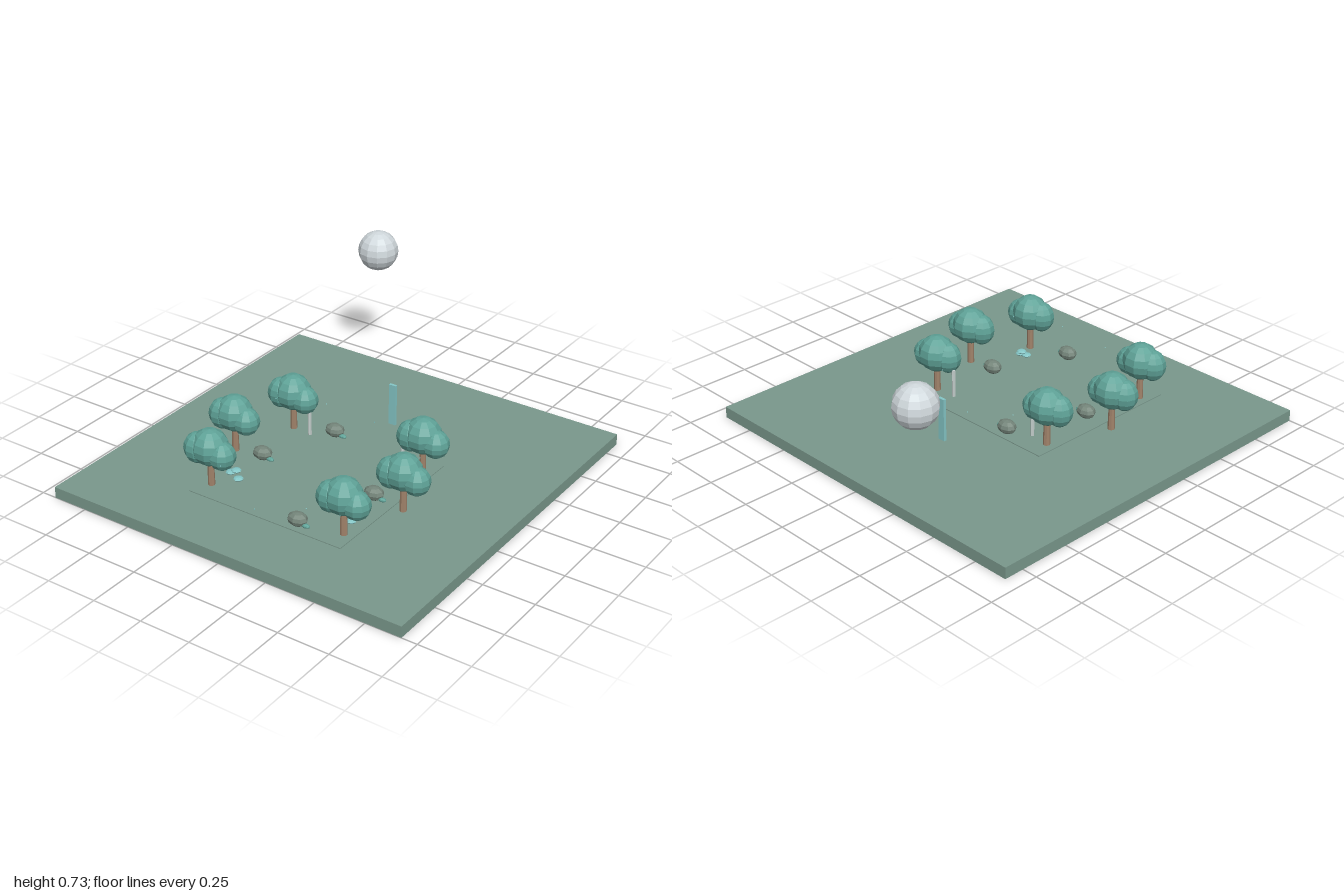
import * as THREE from 'three';

const mat = (name, color) => {
  const m = new THREE.MeshStandardMaterial({ color });
  m.name = name;
  m.flatShading = true;
  return m;
};

export function createModel() {
  const root = new THREE.Group();
  const ground = mat('mossGreen', 0x7a988c);
  const leaf = mat('leafTeal', 0x5fa398);
  const bark = mat('barkBrown', 0xa0826a);
  const stone = mat('shellGrey', 0x74857a);
  const cyan = mat('paleCyan', 0x84c6c6);
  const pale = mat('paleGrey', 0xc6d0ce);
  const moonGrey = mat('moonGrey', 0xd0d8dc);
  const GROUND = 0.055;

  const add = (parent, name, geo, material, x, y, z) => {
    const m = new THREE.Mesh(geo, material);
    m.name = name;
    m.position.set(x, y, z);
    parent.add(m);
    return m;
  };
  const group = (name, x, y, z) => {
    const g = new THREE.Group();
    g.name = name;
    g.position.set(x, y, z);
    root.add(g);
    return g;
  };
  const blob = (rx, ry, rz, w, h) => new THREE.SphereGeometry(1, w, h).scale(rx, ry, rz);

  // Ground slab and the thin tiled clearing
  add(root, 'groundSlab', new THREE.BoxGeometry(1.85, GROUND, 1.85), ground, 0, GROUND / 2, 0.075);
  const clearing = group('clearing', 0, GROUND, 0.275);
  const n = 10, size = 0.082;
  const tile = new THREE.BoxGeometry(size, 0.005, size);
  for (let i = 0; i < n; i++)
    for (let j = 0; j < n; j++)
      add(clearing, 'tile', tile, ground, (i - (n - 1) / 2) * size, 0.0015, (j - (n - 1) / 2) * size);

  // Trees: trunk, main crown and two side lobes
  const trunk = new THREE.CylinderGeometry(0.014, 0.017, 0.15, 8);
  const crown = blob(0.088, 0.089, 0.086, 10, 8);
  const lobeA = blob(0.064, 0.075, 0.062, 10, 8);
  const lobeB = blob(0.066, 0.068, 0.064, 10, 8);
  const spots = [[0.36, -0.035], [0.462, 0.28], [0.36, 0.587]];
  for (const s of [-1, 1])
    for (const [x, z] of spots) {
      const t = group('tree', s * x, 0, z);
      add(t, 'trunk', trunk, bark, 0, GROUND + 0.075, 0);
      add(t, 'crown', crown, leaf, 0, 0.253, 0);
      add(t, 'crownLobe', lobeA, leaf, -0.056, 0.242, 0.02);
      add(t, 'crownLobe', lobeB, leaf, 0.068, 0.23, 0.003);
    }

  // Domed creatures with a small head on one side
  const shell = blob(0.05, 0.033, 0.039, 8, 6);
  const head = blob(0.022, 0.01, 0.013, 8, 6);
  for (const [x, z] of [[-0.158, -0.085], [-0.31, 0.275], [0.305, 0.275], [0.153, 0.637]]) {
    const c = group('domedCreature', x, 0, z);
    add(c, 'shell', shell, stone, 0, 0.088, 0);
    add(c, 'head', head, leaf, 0.048, 0.073, 0.008);
  }

  // Stacked flat caps
  const cap = blob(0.024, 0.009, 0.024, 8, 6);
  for (const x of [-0.305, 0.31]) {
    const c = group('capCluster', x, 0, 0.485);
    add(c, 'cap', cap, cyan, 0.025, 0.07, 0.01);
    add(c, 'cap', cap, cyan, -0.025, 0.083, 0);
    add(c, 'cap', cap, cyan, 0, 0.096, -0.008);
  }

  // Pale posts beside the rear trees
  for (const x of [-0.26, 0.257])
    add(root, 'post', new THREE.CylinderGeometry(0.009, 0.009, 0.14, 6), pale, x, GROUND + 0.07, -0.025);

  // Glowing slab standing at the back
  add(root, 'standingSlab', new THREE.BoxGeometry(0.036, 0.21, 0.014), cyan, 0, GROUND + 0.105, -0.335);

  // Ring of fireflies
  const fly = new THREE.SphereGeometry(0.003, 6, 4);
  for (let i = 0; i < 12; i++) {
    const a = (i * Math.PI) / 6;
    add(root, 'firefly', fly, cyan, 0.46 * Math.sin(a), 0.135 + 0.053 * (i % 3), 0.28 + 0.46 * Math.cos(a));
  }

  // Moon
  add(root, 'moon', new THREE.SphereGeometry(0.1, 12, 10), moonGrey, -0.465, 0.63, -0.9);
  return root;
}
